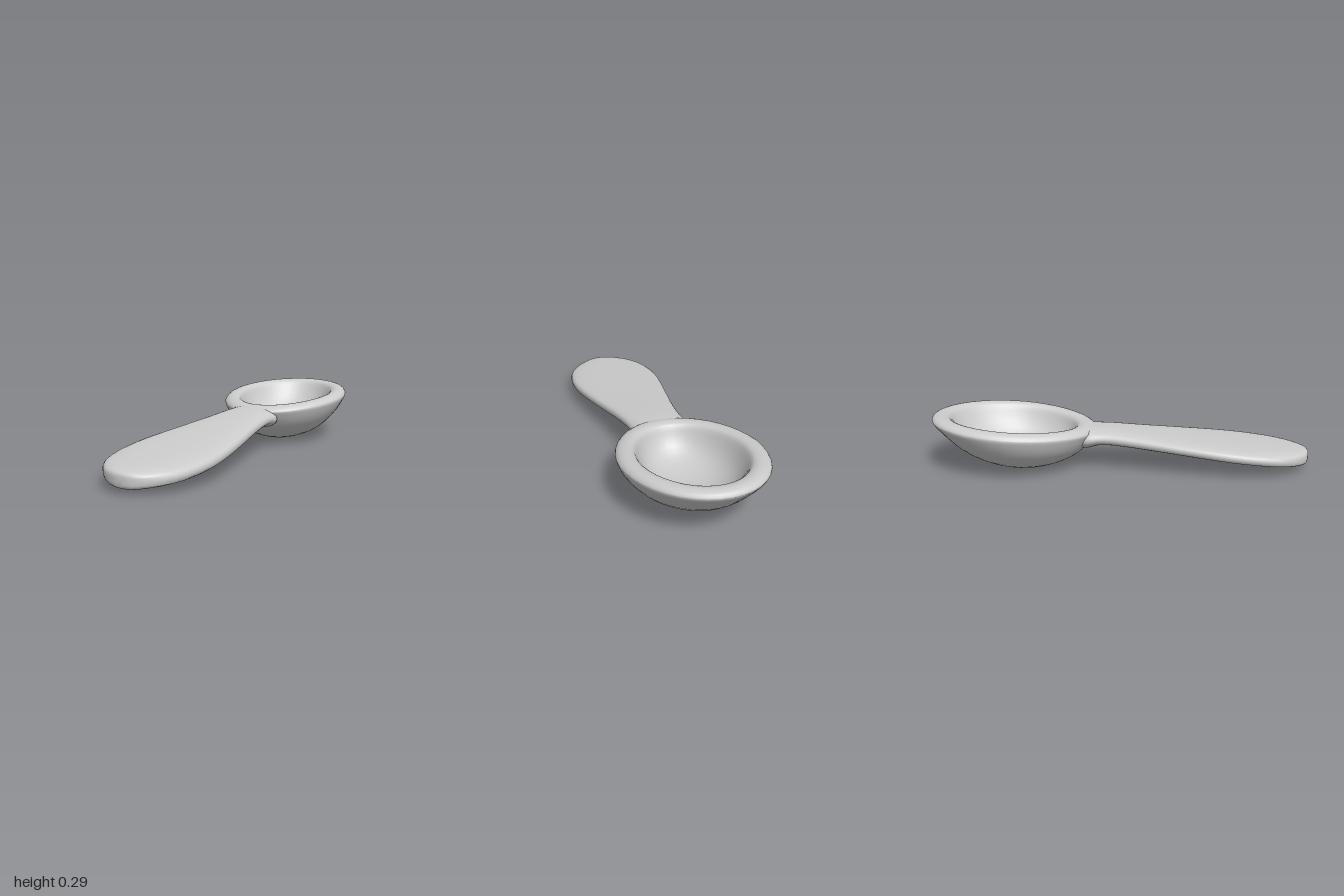
import * as THREE from 'three';

// Smoothly subdivides a list of cross-section stations.
function refine(stations, steps) {
  const size = stations[0].length;
  const spline = new THREE.CubicInterpolant(stations.map((_, i) => i), stations.flat(), size);
  const count = (stations.length - 1) * steps;
  return Array.from({ length: count + 1 }, (_, i) => Array.from(spline.evaluate(i / steps)));
}

// Skins closed rings of points; both ends close on a centre point.
function loft(rings) {
  const n = rings[0].length;
  const positions = rings.flat(2);
  const index = [];
  const id = (i, j) => i * n + (j % n);
  for (let i = 0; i < rings.length - 1; i++) {
    for (let j = 0; j < n; j++) {
      index.push(id(i, j), id(i + 1, j), id(i, j + 1));
      index.push(id(i + 1, j), id(i + 1, j + 1), id(i, j + 1));
    }
  }
  [0, rings.length - 1].forEach((r) => {
    const c = [0, 1, 2].map((k) => rings[r].reduce((s, p) => s + p[k], 0) / n);
    const centre = positions.length / 3;
    positions.push(...c);
    for (let j = 0; j < n; j++) {
      if (r === 0) index.push(centre, id(r, j), id(r, j + 1));
      else index.push(centre, id(r, j + 1), id(r, j));
    }
  });
  const geometry = new THREE.BufferGeometry();
  geometry.setAttribute('position', new THREE.Float32BufferAttribute(positions, 3));
  geometry.setIndex(index);
  geometry.computeVertexNormals();
  return geometry;
}

function ring(n, point) {
  return Array.from({ length: n }, (_, j) => {
    const a = (j / n) * Math.PI * 2;
    return point(Math.cos(a), Math.sin(a));
  });
}

// Bowl: half width, half length, centre z, height, tilt; outside, over the lip, then inside.
function bowlGeometry() {
  const stations = [
    [0.015, 0.015, -0.5, 0.001, 0],
    [0.1, 0.11, -0.5, 0.013, 0],
    [0.195, 0.225, -0.51, 0.05, 0.01],
    [0.262, 0.315, -0.527, 0.1, 0.03],
    [0.312, 0.377, -0.545, 0.16, 0.06],
    [0.343, 0.425, -0.563, 0.222, 0.08],
    [0.344, 0.433, -0.565, 0.243, 0.085],
    [0.326, 0.412, -0.566, 0.26, 0.085],
    [0.295, 0.378, -0.567, 0.266, 0.085],
    [0.268, 0.346, -0.568, 0.26, 0.085],
    [0.252, 0.328, -0.568, 0.242, 0.085],
    [0.234, 0.306, -0.56, 0.2, 0.07],
    [0.2, 0.262, -0.545, 0.14, 0.04],
    [0.142, 0.185, -0.525, 0.092, 0.02],
    [0.07, 0.09, -0.51, 0.068, 0],
    [0.01, 0.01, -0.505, 0.062, 0],
  ];
  // The long axis leans slightly sideways, the handle end narrows and the rim bows upward.
  return loft(refine(stations, 2).map(([w, l, cz, y, tilt]) =>
    ring(40, (c, s) => [
      w * c * (1 - 0.05 * Math.max(s, 0)) + 0.04 * l * s,
      y - tilt * l * s - 0.06 * tilt * s * s,
      cz + l * s,
    ])));
}

// Handle: z, centre x, half width, centre height, half thickness, roundness, from tip to neck.
function handleGeometry() {
  const stations = [
    [0.996, 0.03, 0.025, 0.064, 0.024, 0.6],
    [0.985, 0.03, 0.064, 0.064, 0.036, 0.6],
    [0.96, 0.027, 0.11, 0.066, 0.041, 0.6],
    [0.9, 0.026, 0.172, 0.073, 0.043, 0.6],
    [0.8, 0.027, 0.222, 0.083, 0.043, 0.6],
    [0.65, 0.026, 0.244, 0.099, 0.042, 0.6],
    [0.5, 0.024, 0.236, 0.115, 0.041, 0.6],
    [0.3, 0.022, 0.203, 0.136, 0.041, 0.65],
    [0.1, 0.018, 0.165, 0.157, 0.042, 0.7],
    [-0.04, 0.016, 0.146, 0.171, 0.043, 0.8],
    [-0.12, 0.012, 0.142, 0.173, 0.048, 0.95],
    [-0.17, 0.01, 0.145, 0.167, 0.056, 1],
    [-0.22, 0.008, 0.125, 0.163, 0.056, 1],
  ];
  const round = (v, p) => Math.sign(v) * Math.abs(v) ** p;
  return loft(refine(stations, 2).map(([z, cx, w, y, h, p]) =>
    ring(32, (c, s) => [cx + w * round(c, 0.8), y + h * round(s, p) - 0.03 * w * c, z])));
}

export function createModel() {
  const grey = new THREE.MeshStandardMaterial({ color: 0xcccccc });
  grey.name = 'plain grey';
  const model = new THREE.Group();
  model.name = 'spoon';
  const parts = { bowl: bowlGeometry(), handle: handleGeometry() };
  for (const [name, geometry] of Object.entries(parts)) {
    const mesh = new THREE.Mesh(geometry, grey);
    mesh.name = name;
    model.add(mesh);
  }
  return model;
}
